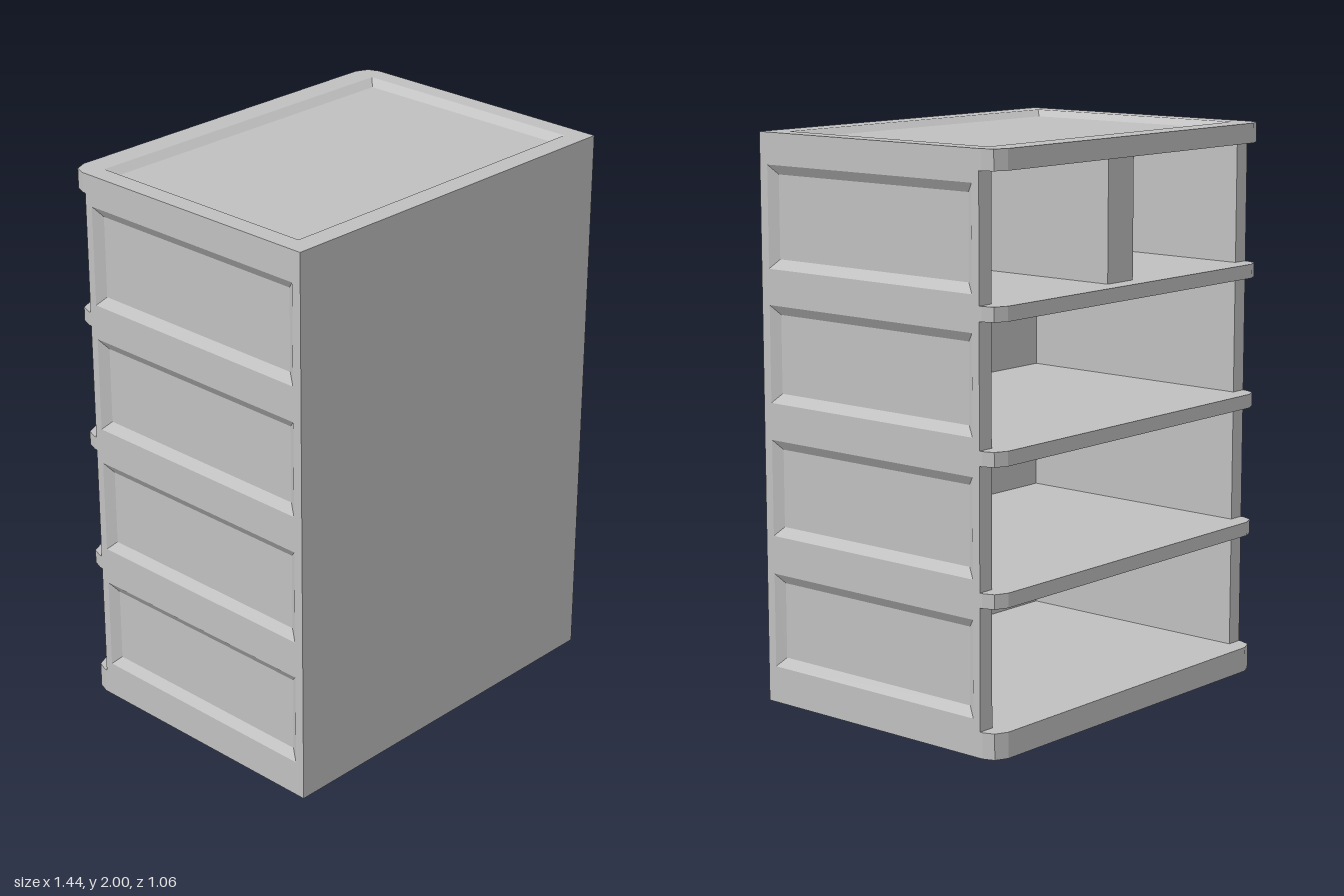
import * as THREE from 'three';

const W = 0.72, D = 0.53, OPEN = -0.46; // half width, half depth, z of the open edge
const WALL = 0.06, DEPTH = 0.022, BEVEL = 0.033; // wall thickness, recess depth, recess slope width
const grey = new THREE.MeshStandardMaterial({ color: 0xc0c0c0 });
grey.name = 'cabinet grey';

// [bottom, top] of each board, and of the recess in each bay's side wall
const boards = [[0, 0.09], [0.51, 0.56], [0.98, 1.03], [1.45, 1.5], [1.93, 2]];
const recesses = [[0.13, 0.465], [0.6, 0.94], [1.07, 1.41], [1.535, 1.89]];

function addMesh(parent, name, geometry, x = 0, y = 0, z = 0) {
  const mesh = new THREE.Mesh(geometry, grey);
  mesh.name = name;
  mesh.position.set(x, y, z);
  parent.add(mesh);
  return mesh;
}

function addBox(parent, name, x0, x1, y0, y1, z0, z1) {
  return addMesh(parent, name, new THREE.BoxGeometry(x1 - x0, y1 - y0, z1 - z0),
    (x0 + x1) / 2, (y0 + y1) / 2, (z0 + z1) / 2);
}

const polygon = (points) => points.map(([x, y]) => new THREE.Vector2(x, y));
const rect = (x0, x1, y0, y1) => polygon([[x0, y0], [x1, y0], [x1, y1], [x0, y1]]);

// Four slopes leading from a hole's rim at z = DEPTH down to z = 0
function slopes(x0, x1, y0, y1) {
  const rim = rect(x0, x1, y0, y1);
  const foot = rect(x0 + BEVEL, x1 - BEVEL, y0 + BEVEL, y1 - BEVEL);
  const positions = [];
  for (let i = 0; i < 4; i++) {
    const j = (i + 1) % 4;
    const a = [rim[i].x, rim[i].y, DEPTH], b = [rim[j].x, rim[j].y, DEPTH];
    const c = [foot[j].x, foot[j].y, 0], d = [foot[i].x, foot[i].y, 0];
    positions.push(...a, ...b, ...c, ...a, ...c, ...d);
  }
  const geometry = new THREE.BufferGeometry();
  geometry.setAttribute('position', new THREE.Float32BufferAttribute(positions, 3));
  geometry.computeVertexNormals();
  return geometry;
}

// Slab in the xy plane, front at z = thickness, with an optional sloped recess
function panel(name, outline, thickness, hole) {
  const group = new THREE.Group();
  group.name = name;
  const extrude = (shape, depth) => new THREE.ExtrudeGeometry(shape, { depth, bevelEnabled: false });
  const base = hole ? thickness - DEPTH : thickness;
  addMesh(group, name + 'Slab', extrude(new THREE.Shape(outline), base));
  if (hole) {
    const frame = new THREE.Shape(outline);
    frame.holes.push(new THREE.Path(rect(...hole)));
    addMesh(group, name + 'Frame', extrude(frame, DEPTH), 0, 0, base);
    addMesh(group, name + 'Recess', slopes(...hole), 0, 0, base);
  }
  return group;
}

export function createModel() {
  const model = new THREE.Group();
  model.name = 'cabinet';

  // Boards with cut corners at the open side; the top one has a shallow tray
  const outline = polygon([[-W, -D], [W, -D], [W, 0.47], [0.705, 0.51], [0.66, D],
    [-0.66, D], [-0.705, 0.51], [-W, 0.47]]);
  boards.forEach(([y0, y1], i) => {
    const isTop = i === boards.length - 1;
    const name = isTop ? 'topBoard' : i === 0 ? 'bottomBoard' : 'shelf' + i;
    const board = panel(name, outline, y1 - y0, isTop ? [-0.65, 0.65, -0.455, 0.44] : null);
    board.rotation.x = -Math.PI / 2;
    board.position.y = y0;
    model.add(board);
  });

  // Each bay: two recessed side walls and a closed front
  recesses.forEach(([r0, r1], i) => {
    const y0 = boards[i][1], y1 = boards[i + 1][0];
    for (const side of [1, -1]) {
      const zs = [OPEN, D].map((z) => -side * z).sort((a, b) => a - b);
      const hs = [-0.43, 0.495].map((z) => -side * z).sort((a, b) => a - b);
      const wall = panel((side > 0 ? 'leftWall' : 'rightWall') + (i + 1),
        rect(zs[0], zs[1], y0, y1), WALL, [hs[0], hs[1], r0, r1]);
      wall.rotation.y = side * Math.PI / 2;
      wall.position.x = side * (W - WALL);
      model.add(wall);
    }
    addBox(model, 'frontPanel' + (i + 1), -W + WALL, W - WALL, y0, y1, D - WALL, D);
  });

  // Upright divider in the top bay
  addBox(model, 'divider', -0.068, 0.068, 1.5, 1.93, OPEN, D - WALL);
  return model;
}
